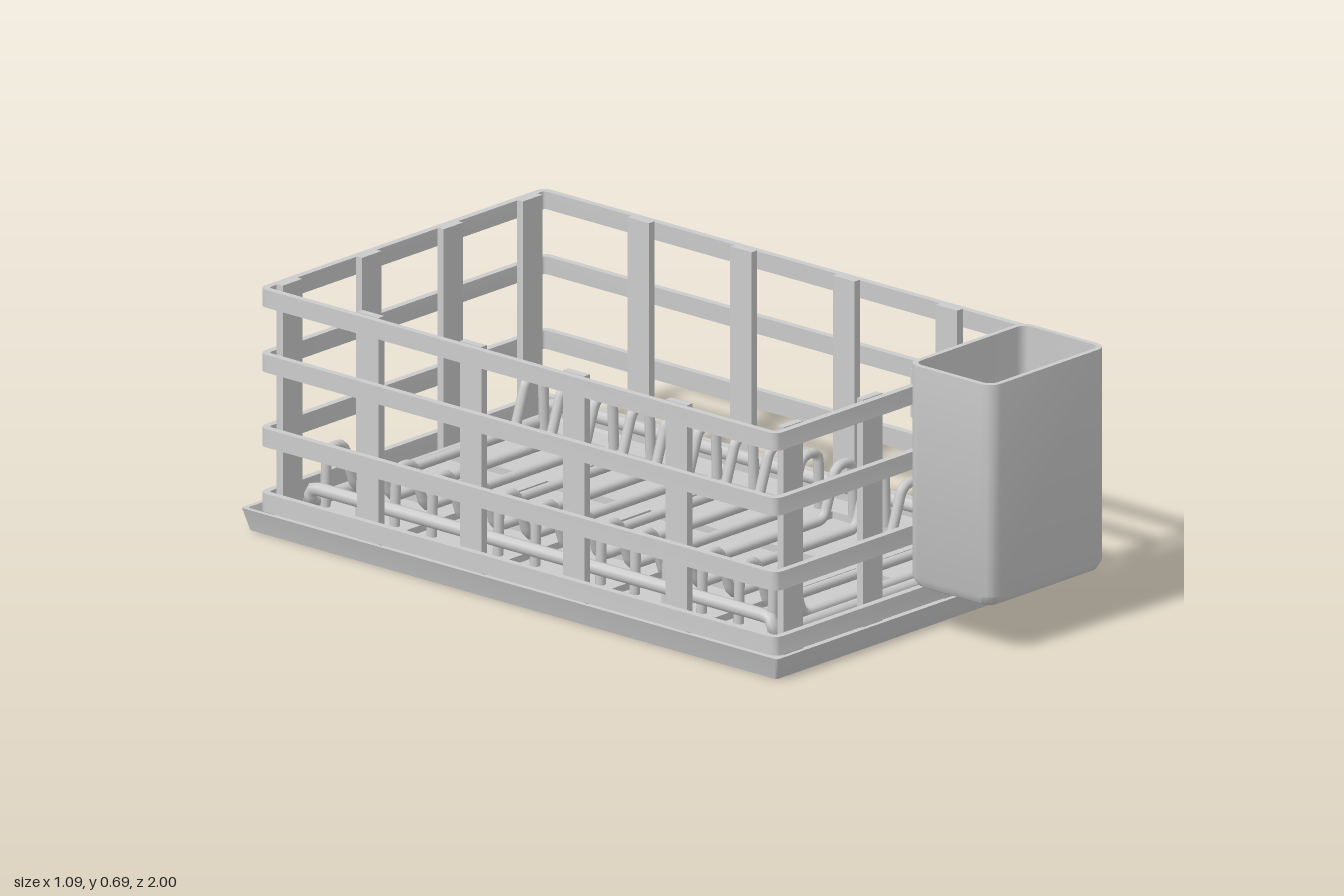
import * as THREE from 'three';
import { toCreasedNormals } from 'three/addons/utils/BufferGeometryUtils.js';

const material = new THREE.MeshStandardMaterial({ color: 0xcccccc });
const CZ = -0.13; // middle of the tray and basket along z

function add(parent, name, geometry, x = 0, y = 0, z = 0) {
  const mesh = new THREE.Mesh(geometry, material);
  mesh.name = name;
  mesh.position.set(x, y, z);
  parent.add(mesh);
  return mesh;
}

function box(parent, name, x0, x1, y0, y1, z0, z1) {
  return add(parent, name, new THREE.BoxGeometry(x1 - x0, y1 - y0, z1 - z0),
    (x0 + x1) / 2, (y0 + y1) / 2, (z0 + z1) / 2);
}

// Outline of a rounded rectangle with half sizes w, d and corner radius r
function outline(w, d, r, steps = 4) {
  const pts = [];
  [[1, 1], [-1, 1], [-1, -1], [1, -1]].forEach(([sx, sz], q) => {
    for (let i = 0; i <= steps; i++) {
      const a = (q + i / steps) * Math.PI / 2;
      pts.push([sx * (w - r) + r * Math.cos(a), sz * (d - r) + r * Math.sin(a)]);
    }
  });
  return pts;
}

// Skin over rounded-rectangle rings [halfWidth, halfDepth, radius, y]
function vessel(rings) {
  const pos = [], index = [];
  const n = outline(1, 1, 0).length;
  for (const [w, d, r, y] of rings) {
    for (const [x, z] of outline(w, d, r)) pos.push(x, y, z);
  }
  for (let k = 0; k < rings.length - 1; k++) {
    for (let j = 0; j < n; j++) {
      const a = k * n + j, b = k * n + (j + 1) % n;
      index.push(a, a + n, b, b, a + n, b + n);
    }
  }
  const g = new THREE.BufferGeometry();
  g.setAttribute('position', new THREE.Float32BufferAttribute(pos, 3));
  g.setIndex(index);
  return toCreasedNormals(g, 0.6);
}

// Round wire through points, with each bend eased by a fillet
function wire(points, radius, fillet, segments) {
  const p = points.map(v => new THREE.Vector3(...v));
  const path = new THREE.CurvePath();
  let from = p[0];
  for (let i = 1; i < p.length - 1; i++) {
    const toward = (q) => p[i].clone().add(q.clone().sub(p[i]).setLength(fillet));
    const a = toward(p[i - 1]), b = toward(p[i + 1]);
    path.add(new THREE.LineCurve3(from, a));
    path.add(new THREE.QuadraticBezierCurve3(a, p[i], b));
    from = b;
  }
  path.add(new THREE.LineCurve3(from, p[p.length - 1]));
  return new THREE.TubeGeometry(path, segments, radius, 8);
}

// Closed band following the basket's outside
function bandGeometry(w, d, thick, height) {
  const toVec = ([x, z]) => new THREE.Vector2(x, z);
  const shape = new THREE.Shape(outline(w, d, 0.025).map(toVec));
  shape.holes.push(new THREE.Path(outline(w - thick, d - thick, 0.01).map(toVec)));
  const g = new THREE.ExtrudeGeometry(shape, { depth: height, bevelEnabled: false });
  g.rotateX(-Math.PI / 2);
  return toCreasedNormals(g, 0.6);
}

function createTray() {
  return vessel([
    [0, 0, 0, 0], [0.53, 0.855, 0.006, 0], [0.545, 0.87, 0.008, 0.057],
    [0.533, 0.858, 0.008, 0.057], [0.52, 0.845, 0.006, 0.02], [0, 0, 0, 0.02],
  ]);
}

function createBasket() {
  const basket = new THREE.Group();
  basket.name = 'basket';
  const W = 0.515, D = 0.84, T = 0.018;
  for (const [y, h] of [[0.05, 0.047], [0.215, 0.047], [0.405, 0.045], [0.57, 0.045]]) {
    add(basket, 'horizontalBand', bandGeometry(W, D, T, h), 0, y, CZ);
  }
  const top = 0.617, floor = 0.035, half = 0.035;
  // Slats running front to back, turned up at both ends
  for (const x of [-0.433, -0.147, 0.147, 0.433]) {
    box(basket, 'floorSlatLong', x - half, x + half, floor, floor + T, CZ - D + 0.02, CZ + D - 0.02);
    for (const s of [-1, 1]) {
      const z = CZ + s * (D - T - 0.01);
      box(basket, 'endSlat', x - half, x + half, floor, top, z - 0.01, z + 0.01);
    }
  }
  // Slats running side to side, turned up at both ends
  for (const z of [0.37, 0.037, -0.297, -0.63]) {
    box(basket, 'floorSlatCross', -W + 0.02, W - 0.02, floor, floor + T, z - half, z + half);
    for (const s of [-1, 1]) {
      const x = s * (W - T - 0.01);
      box(basket, 'sideSlat', x - 0.01, x + 0.01, floor, top, z - half, z + half);
    }
  }
  return basket;
}

function createPlateRack() {
  const rack = new THREE.Group();
  rack.name = 'plateRack';
  // Frame: raised side rails dropping to low end bars
  const x = 0.432, z0 = -0.88, z1 = 0.63, hi = 0.11, lo = 0.07;
  add(rack, 'rackFrame', wire([
    [0, lo, z1], [x, lo, z1], [x, hi, z1 - 0.01], [x, hi, z0 + 0.01], [x, lo, z0],
    [-x, lo, z0], [-x, hi, z0 + 0.01], [-x, hi, z1 - 0.01], [-x, lo, z1], [0, lo, z1],
  ], 0.017, 0.018, 260));
  // Plate holders with a raised loop at each side
  const holder = wire([
    [-0.395, 0.055, 0], [-0.39, 0.2, 0], [-0.33, 0.2, 0], [-0.287, 0.075, 0],
    [0.287, 0.075, 0], [0.33, 0.2, 0], [0.39, 0.2, 0], [0.395, 0.055, 0],
  ], 0.013, 0.025, 90);
  for (const z of [-0.86, -0.745, -0.635, -0.515, -0.405, -0.3, -0.18,
    -0.07, 0.032, 0.143, 0.247, 0.36, 0.48, 0.59]) {
    add(rack, 'plateHolder', holder, 0, 0, z);
  }
  return rack;
}

function createCutleryCup() {
  const cup = new THREE.Group();
  cup.name = 'cutleryCup';
  const w = 0.211, d = 0.138;
  add(cup, 'cupBody', vessel([
    [0, 0, 0, 0.118], [w - 0.028, d - 0.028, 0.022, 0.118], [w - 0.012, d - 0.012, 0.03, 0.126],
    [w, d, 0.036, 0.148], [w, d, 0.036, 0.688],
    [w - 0.014, d - 0.014, 0.024, 0.688], [w - 0.014, d - 0.014, 0.024, 0.15], [0, 0, 0, 0.14],
  ]), 0.149, 0, 0.862);
  // Hooks reaching over the basket's top band
  for (const x of [0.06, 0.235]) {
    box(cup, 'hookTop', x - 0.035, x + 0.035, 0.619, 0.638, 0.66, 0.73);
    box(cup, 'hookTip', x - 0.035, x + 0.035, 0.515, 0.638, 0.66, 0.674);
  }
  return cup;
}

export function createModel() {
  const model = new THREE.Group();
  model.name = 'dishRack';
  add(model, 'dripTray', createTray(), 0, 0, CZ);
  model.add(createBasket(), createPlateRack(), createCutleryCup());
  return model;
}
